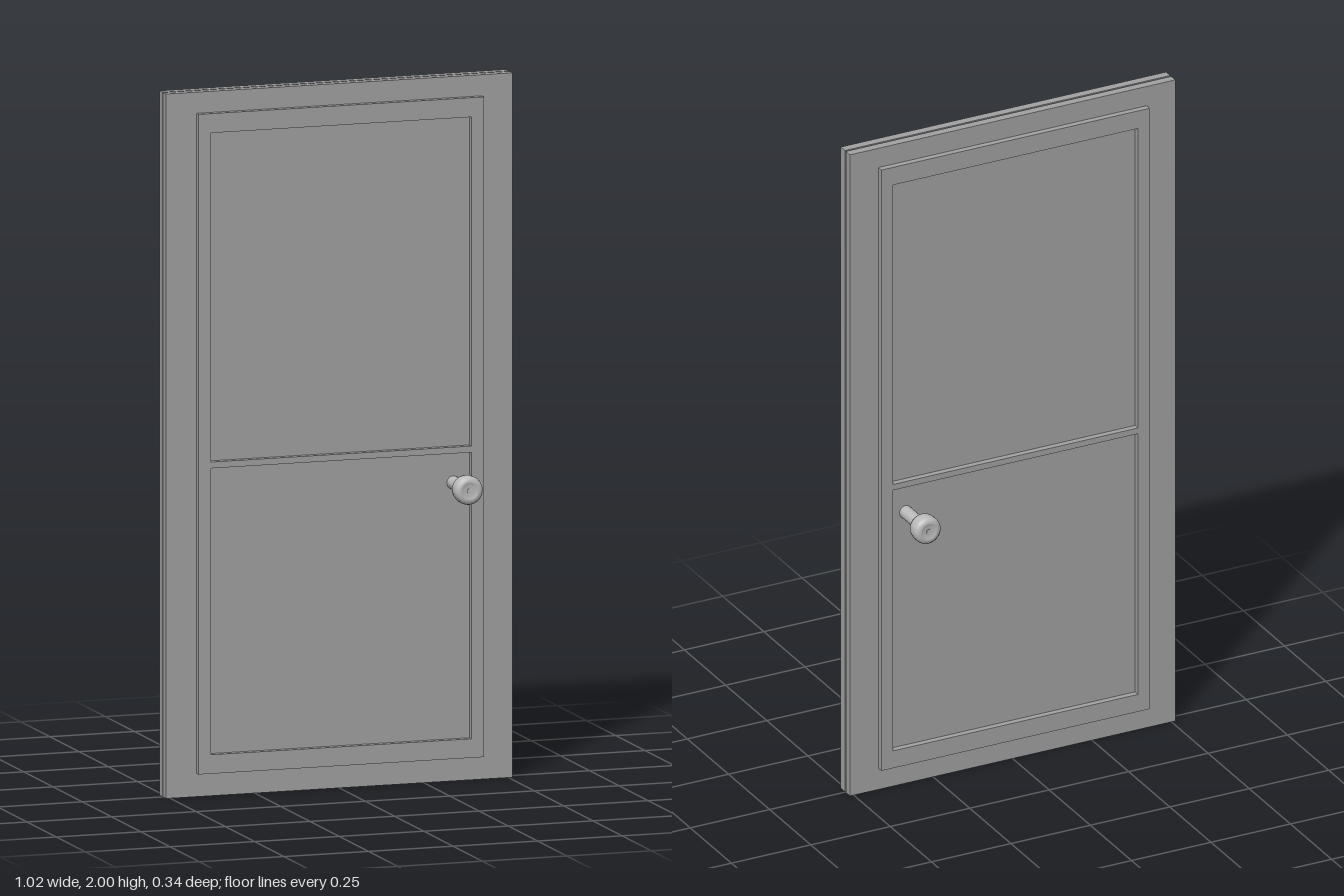
import * as THREE from 'three';

const rectPath = (P, x, y0, y1) => {
  const p = new P();
  p.moveTo(-x, y0);
  p.lineTo(x, y0);
  p.lineTo(x, y1);
  p.lineTo(-x, y1);
  p.closePath();
  return p;
};

export function createModel() {
  const doorGrey = new THREE.MeshStandardMaterial({ color: 0xa2a2a2 });
  doorGrey.name = 'door grey';
  const knobGrey = new THREE.MeshStandardMaterial({ color: 0xbcbcbc });
  knobGrey.name = 'knob grey';

  const model = new THREE.Group();
  model.name = 'door';
  const add = (parent, name, geometry, material) => {
    const mesh = new THREE.Mesh(geometry, material);
    mesh.name = name;
    parent.add(mesh);
    return mesh;
  };

  const gap = 0.003, slabFace = 0.028, frameFace = 0.046;

  // Raised moulding with two panel openings
  const frameShape = rectPath(THREE.Shape, 0.422, 0.066, 1.94);
  frameShape.holes.push(rectPath(THREE.Path, 0.385, 0.12, 0.933));
  frameShape.holes.push(rectPath(THREE.Path, 0.385, 0.951, 1.885));
  const frameGeo = new THREE.ExtrudeGeometry(frameShape, { depth: frameFace - slabFace, bevelEnabled: false });

  // Knob profile along its axis: neck, flare, rim and a shallow dished face
  const knobGeo = new THREE.LatheGeometry([
    [0, 0.114], [0.024, 0.114], [0.033, 0.12], [0.039, 0.13], [0.041, 0.142], [0.041, 0.158],
    [0.039, 0.166], [0.034, 0.171], [0.027, 0.1725], [0.021, 0.1725], [0.019, 0.17], [0, 0.17],
  ].map(([r, h]) => new THREE.Vector2(r, h)), 32);
  const stemGeo = new THREE.CylinderGeometry(0.019, 0.019, 0.116 - slabFace, 24);
  stemGeo.translate(0, (0.116 + slabFace) / 2, 0);
  const lockGeo = new THREE.CylinderGeometry(0.008, 0.008, 0.002, 20);
  lockGeo.translate(0, 0.171, 0);

  // The same leaf, moulding and knob on both faces
  for (const [side, s] of [['front', 1], ['back', -1]]) {
    const half = new THREE.Group();
    half.name = side + 'Half';
    model.add(half);

    const slab = add(half, side + 'Slab', new THREE.BoxGeometry(1.024, 2, slabFace - gap), doorGrey);
    slab.position.set(0, 1, s * (slabFace + gap) / 2);

    const frame = add(half, side + 'Moulding', frameGeo, doorGrey);
    frame.position.z = s > 0 ? slabFace : -frameFace;

    const knob = new THREE.Group();
    knob.name = side + 'Knob';
    knob.position.set(0.337, 0.847, 0);
    knob.rotation.x = s * Math.PI / 2;
    half.add(knob);
    add(knob, 'stem', stemGeo, knobGrey);
    add(knob, 'handle', knobGeo, knobGrey);
    add(knob, 'lockButton', lockGeo, knobGrey);
  }
  return model;
}
